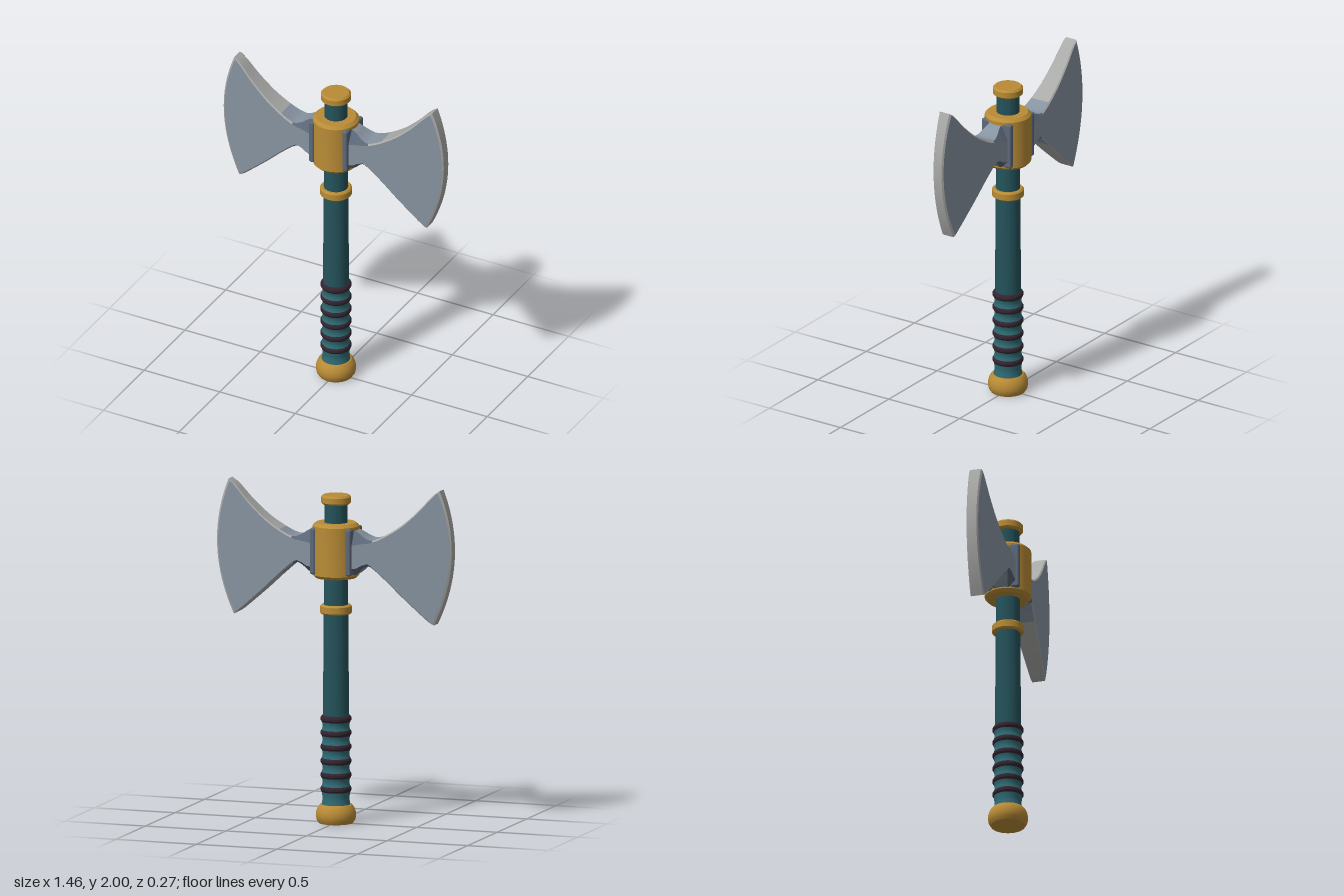
import * as THREE from 'three';
import { toCreasedNormals } from 'three/addons/utils/BufferGeometryUtils.js';
import { RoundedBoxGeometry } from 'three/addons/geometries/RoundedBoxGeometry.js';

const mat = (name, color) => {
  const m = new THREE.MeshStandardMaterial({ color });
  m.name = name;
  return m;
};

export function createModel() {
  const gold = mat('gold', 0xb98c36);
  const teal = mat('dark teal', 0x24535b);
  const gripTeal = mat('grip teal', 0x2f6a73);
  const wrap = mat('dark wrap', 0x33242f);
  const steel = mat('steel', 0x8693a0);
  const edgeSteel = mat('edge steel', 0xa9a9a8);
  const slate = mat('slate', 0x5c6879);

  const model = new THREE.Group();
  model.name = 'doubleAxe';

  const add = (parent, name, geometry, material) => {
    const mesh = new THREE.Mesh(geometry, material);
    mesh.name = name;
    parent.add(mesh);
    return mesh;
  };

  // Turned part from [radius, y] pairs, bottom to top
  const turned = (name, points, material) => add(model, name, toCreasedNormals(
    new THREE.LatheGeometry(points.map(p => new THREE.Vector2(...p)), 40), 0.5), material);

  // Shaft, pommel, rings and collar
  turned('shaft', [[0.076, 0.6], [0.075, 0.8], [0.067, 1.9]], teal);
  turned('pommel', [[0, 0], [0.1, 0], [0.113, 0.02], [0.118, 0.045], [0.115, 0.07],
    [0.105, 0.095], [0.092, 0.11], [0, 0.112]], gold);
  const ring = (name, y0, y1, r, c) => turned(name,
    [[0, y0], [r - c, y0], [r, y0 + c], [r, y1 - c], [r - c, y1], [0, y1]], gold);
  ring('neckRing', 1.235, 1.29, 0.093, 0.009);
  ring('topCap', 1.882, 1.937, 0.088, 0.011);
  ring('collar', 1.45, 1.775, 0.136, 0.018);

  // Ribbed grip: dark bands on the crests, teal hollows between
  const pitch = 0.083, half = 0.017;
  for (let i = 0; i < 6; i++) {
    const y = 0.201 + i * pitch;
    turned('gripBand', [[0.084, y - half], [0.0905, y - 0.006], [0.0905, y + 0.006], [0.084, y + half]], wrap);
    const low = i ? y - pitch + half : 0.108;
    const mid = (low + y - half) / 2;
    turned('gripHollow', [[0.084, low], [0.079, mid - 0.01], [0.079, mid + 0.01], [0.084, y - half]], gripTeal);
  }
  turned('gripTop', [[0.084, 0.201 + 5 * pitch + half], [0.075, 0.637]], wrap);

  // Smooth surface through rows of points; back = mirrored in z
  const surface = (rows, back) => {
    if (back) rows = rows.map(r => r.map(([x, y, z]) => [x, y, -z]).reverse());
    const n = rows[0].length, index = [];
    for (let i = 0; i < rows.length - 1; i++) {
      for (let j = 0; j < n - 1; j++) {
        const a = i * n + j, b = a + n;
        index.push(a, b, a + 1, b, b + 1, a + 1);
      }
    }
    const g = new THREE.BufferGeometry();
    g.setAttribute('position', new THREE.Float32BufferAttribute(rows.flat(2), 3));
    g.setIndex(index);
    g.computeVertexNormals();
    return g;
  };

  // Blade outline stations from root to cutting edge
  const spline = pts => new THREE.SplineCurve(pts.map(p => new THREE.Vector2(...p)));
  const topCurve = spline([[0.10, 1.75], [0.15, 1.73], [0.20, 1.70], [0.25, 1.69], [0.33, 1.725],
    [0.43, 1.79], [0.53, 1.88], [0.61, 1.967], [0.655, 2.0]]);
  const lowCurve = spline([[0.10, 1.46], [0.15, 1.485], [0.20, 1.53], [0.24, 1.53], [0.33, 1.455],
    [0.42, 1.37], [0.51, 1.29], [0.58, 1.23], [0.62, 1.205]]);
  const ramp = (list, k) => {
    const i = Math.min(Math.floor(k), list.length - 1);
    const next = list[Math.min(i + 1, list.length - 1)];
    return THREE.MathUtils.lerp(list[i], next, k - Math.floor(k));
  };
  const thickness = x => 0.095 - 0.083 * x;
  const SUB = 4, COLS = 20;

  const buildBlade = () => {
    const blade = new THREE.Group();
    const face = [], topBevel = [], lowBevel = [], topEdge = [], lowEdge = [];
    let rim;
    for (let s = 0; s <= 8 * SUB; s++) {
      const k = s / SUB, t = topCurve.getPoint(k / 8), l = lowCurve.getPoint(k / 8);
      const drop = ramp([0.05, 0.04, 0.02, 0.007], k);
      const topIn = ramp([0.11, 0.07, 0.03, 0.01], k), lowIn = ramp([0.06, 0.035, 0.014, 0.01], k);
      const bulge = 0.09 * Math.max(0, (k - 3) / 5) ** 2;
      const back = 0.01 * Math.max(0, k - 7);
      // Points across the blade; inset rows lie on the face, others on the outline
      const across = (inset) => Array.from({ length: COLS + 1 }, (_, j) => {
        const v = j / COLS;
        const x = THREE.MathUtils.lerp(l.x, t.x, v) + bulge * 4 * v * (1 - v) - (inset ? back : 0);
        const y = THREE.MathUtils.lerp(l.y + (inset ? lowIn : 0), t.y - (inset ? topIn : 0), v);
        return [x, y, thickness(x) - (inset ? 0 : drop)];
      });
      const f = across(true), o = across(false);
      const T = o[COLS], L = o[0];
      face.push(f);
      topBevel.push([f[COLS], T]);
      lowBevel.push([L, f[0]]);
      topEdge.push([T, [T[0], T[1], -T[2]]]);
      lowEdge.push([[L[0], L[1], -L[2]], L]);
      rim = [f, o];
    }
    const rootEnd = 3 * SUB, neckEnd = 4 * SUB;
    for (const back of [false, true]) {
      add(blade, 'bladeFace', surface(face, back), steel);
      add(blade, 'cuttingBevel', surface(rim, back), edgeSteel);
      for (const bevel of [topBevel, lowBevel]) {
        add(blade, 'rootChamfer', surface(bevel.slice(0, rootEnd + 1), back), slate);
        add(blade, 'bladeBevel', surface(bevel.slice(rootEnd), back), edgeSteel);
      }
    }
    for (const edge of [topEdge, lowEdge]) {
      add(blade, 'neckEdge', surface(edge.slice(0, neckEnd + 1)), steel);
      add(blade, 'bladeEdge', surface(edge.slice(neckEnd)), edgeSteel);
    }
    add(blade, 'cuttingEdge', surface(rim[1].map(([x, y, z]) => [[x, y, -z], [x, y, z]])), edgeSteel);

    // Bracket clamping the blade root to the collar
    add(blade, 'bracket', new RoundedBoxGeometry(0.034, 0.275, 0.208, 2, 0.012), slate)
      .position.set(0.11, 1.612, 0);
    return blade;
  };

  for (const [name, turn] of [['leftBlade', 0], ['rightBlade', Math.PI]]) {
    const blade = buildBlade();
    blade.name = name;
    blade.rotation.y = turn;
    model.add(blade);
  }
  return model;
}
